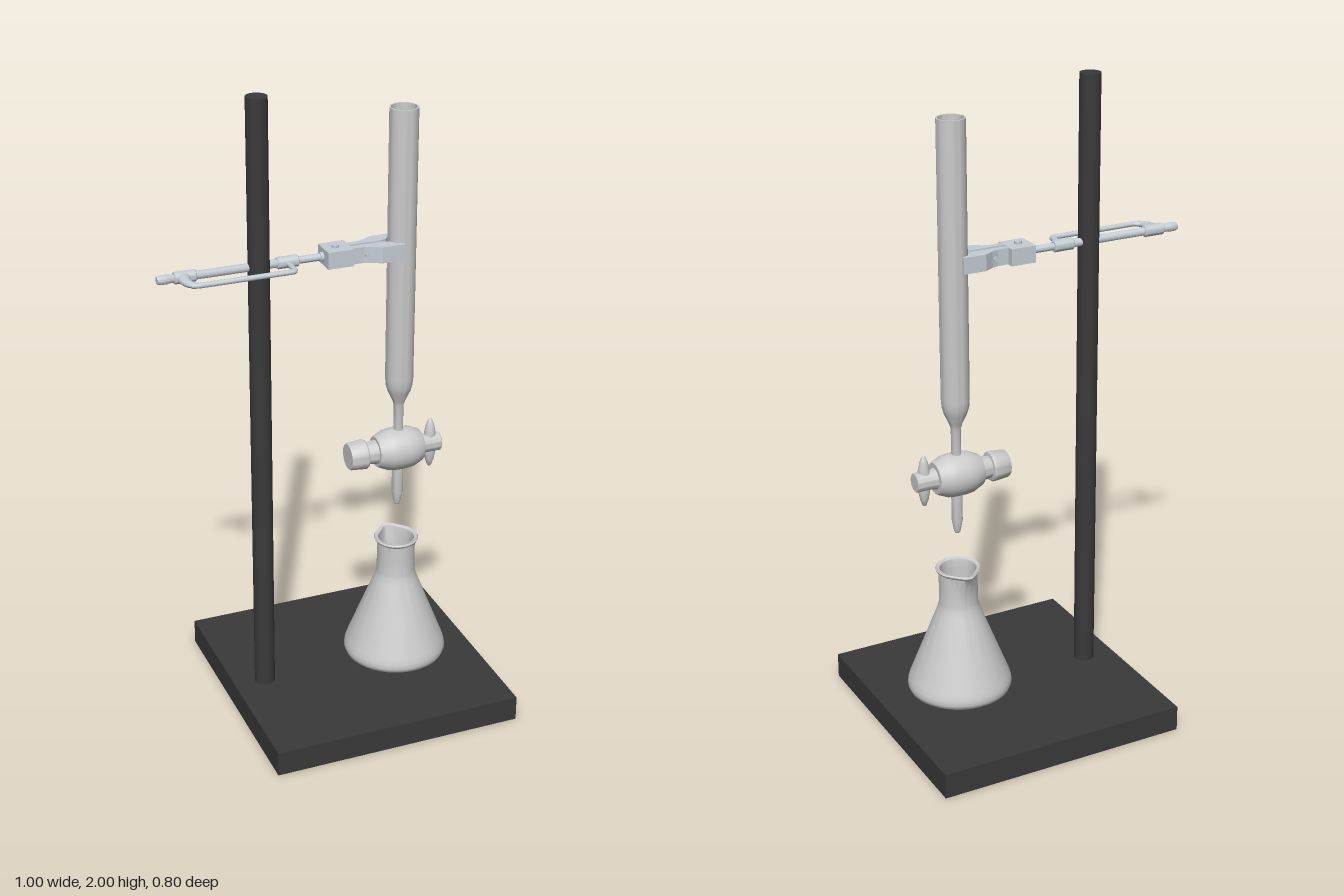
import * as THREE from 'three';
import { toCreasedNormals } from 'three/addons/utils/BufferGeometryUtils.js';

const material = (color) => new THREE.MeshStandardMaterial({ color, side: THREE.DoubleSide });
const V = (x, y, z) => new THREE.Vector3(x, y, z);

export function createModel() {
  const model = new THREE.Group();
  const dark = material(0x3a3a3a), glass = material(0xcccccc), metal = material(0xc4ccd4);
  const Z = 0.015; // depth of the shared glassware axis
  const GX = 0.247; // glassware axis in x

  const add = (parent, name, geometry, mat, x = 0, y = 0, z = 0) => {
    const mesh = new THREE.Mesh(geometry, mat);
    mesh.name = name;
    mesh.position.set(x, y, z);
    parent.add(mesh);
    return mesh;
  };
  const group = (name, x = 0, y = 0, z = 0) => {
    const g = new THREE.Group();
    g.name = name;
    g.position.set(x, y, z);
    model.add(g);
    return g;
  };
  // Turned part from [radius, height] pairs
  const turned = (points, segments = 40) => toCreasedNormals(
    new THREE.LatheGeometry(points.map(([r, y]) => new THREE.Vector2(r, y)), segments), 0.6);
  // Turned part lying along x, from [radius, x] pairs
  const turnedX = (points, segments = 32) => turned(points, segments).rotateZ(-Math.PI / 2);

  // Stand
  const stand = group('stand');
  add(stand, 'base', new THREE.BoxGeometry(0.8, 0.08, 0.8), dark, 0.1, 0.04, 0);
  add(stand, 'uprightRod', new THREE.CylinderGeometry(0.032, 0.032, 1.94, 32), dark, -0.2, 1.03, 0.012);

  // Conical flask, hollow, with a pouring lip at the back
  const flask = group('flask', GX, 0, Z);
  const body = new THREE.LatheGeometry([
    [0, 0.097], [0.148, 0.095], [0.158, 0.102], [0.163, 0.115], [0.161, 0.13],
    [0.155, 0.148], [0.07, 0.365], [0.063, 0.385], [0.06, 0.4], [0.06, 0.45], [0.06, 0.475], [0.06, 0.5],
    [0.068, 0.506], [0.07, 0.511], [0.067, 0.516], [0.057, 0.512], [0.055, 0.5],
    [0.055, 0.475], [0.055, 0.45], [0.055, 0.395], [0.065, 0.365], [0.15, 0.145], [0.15, 0.108], [0, 0.105],
  ].map(([r, y]) => new THREE.Vector2(r, y)), 64);
  const p = body.attributes.position;
  for (let i = 0; i < p.count; i++) {
    const x = p.getX(i), y = p.getY(i), z = p.getZ(i);
    const lift = THREE.MathUtils.smoothstep(y, 0.44, 0.51);
    const facing = Math.max(0, -z / (Math.hypot(x, z) || 1));
    p.setZ(i, z - 0.018 * lift * facing ** 10);
  }
  add(flask, 'flaskBody', toCreasedNormals(body, 0.7), glass);

  // Burette tube, open at the top and narrowing to a stem
  const burette = group('burette', GX, 0, Z);
  add(burette, 'buretteTube', turned([
    [0.015, 0.87], [0.015, 0.975], [0.02, 0.992], [0.035, 1.025], [0.041, 1.045], [0.043, 1.07],
    [0.043, 1.92], [0.038, 1.92], [0.038, 1.07], [0.03, 1.028], [0.011, 0.98], [0.011, 0.87],
  ]), glass);
  add(burette, 'buretteTip', turned([
    [0.017, 0.78], [0.017, 0.675], [0.01, 0.637], [0.007, 0.632], [0.005, 0.632], [0.009, 0.68], [0.009, 0.78],
  ].reverse(), 24), glass);

  // Stopcock: barrel, end cap and key across the stem
  const stopcock = group('stopcock', GX, 0.827, Z);
  add(stopcock, 'barrel', turnedX([
    [0, -0.075], [0.048, -0.075], [0.052, -0.068], [0.064, -0.04], [0.067, -0.015], [0.067, 0.015],
    [0.064, 0.04], [0.052, 0.068], [0.048, 0.073], [0, 0.073],
  ]), glass);
  add(stopcock, 'endCap', turnedX([
    [0, -0.167], [0.04, -0.167], [0.043, -0.162], [0.047, -0.115], [0.044, -0.11], [0.034, -0.108], [0.038, -0.07],
  ]), glass);
  add(stopcock, 'keyStem', turnedX([
    [0.036, 0.06], [0.03, 0.085], [0.03, 0.136], [0.027, 0.139], [0, 0.139],
  ]), glass);
  for (const s of [1, -1]) {
    const wing = add(stopcock, s > 0 ? 'upperKeyWing' : 'lowerKeyWing', turned([
      [0.018, 0], [0.018, 0.034], [0.013, 0.06], [0.006, 0.079], [0, 0.084],
    ], 20), glass, 0.108, 0, 0);
    if (s < 0) wing.rotation.x = Math.PI;
  }

  // Clamp: shaft with collars, side lever, block and two jaws
  const clamp = group('clamp', 0, 1.495, 0.008);
  add(clamp, 'shaft', turnedX([
    [0, -0.505], [0.011, -0.505], [0.014, -0.495], [0.014, -0.475], [0.0125, -0.47],
    [0.0125, -0.14], [0.011, -0.13], [0.011, -0.01], [0.014, -0.01], [0.014, 0.01], [0, 0.01],
  ], 20), metal);
  for (const [name, x] of [['rearCollar', -0.422], ['frontCollar', -0.111]]) {
    add(clamp, name, turnedX([
      [0, -0.033], [0.015, -0.033], [0.018, -0.03], [0.018, 0.03], [0.015, 0.033], [0, 0.033],
    ], 20), metal, x);
  }
  const leverPath = new THREE.CurvePath();
  const corners = [V(-0.425, 0, 0.074), V(-0.405, 0, 0.079), V(-0.126, 0, 0.079), V(-0.113, 0, 0.066), V(-0.113, 0, 0.01)];
  leverPath.add(new THREE.LineCurve3(corners[0], corners[1]));
  leverPath.add(new THREE.LineCurve3(corners[1], corners[2]));
  leverPath.add(new THREE.QuadraticBezierCurve3(corners[2], V(-0.113, 0, 0.079), corners[3]));
  leverPath.add(new THREE.LineCurve3(corners[3], corners[4]));
  add(clamp, 'lever', new THREE.TubeGeometry(leverPath, 80, 0.008, 12), metal);

  // Tapered elbow joining the lever to the rear collar
  const elbowPath = new THREE.CatmullRomCurve3([
    V(-0.428, 0, 0.01), V(-0.43, 0, 0.035), V(-0.423, 0, 0.063), V(-0.4, 0, 0.079)]);
  const elbow = new THREE.TubeGeometry(elbowPath, 20, 0.021, 12);
  const e = elbow.attributes.position;
  for (let i = 0; i < e.count; i++) {
    const t = Math.floor(i / 13) / 20, c = elbowPath.getPointAt(t);
    const v = V(0, 0, 0).fromBufferAttribute(e, i).sub(c).multiplyScalar(1 - 0.6 * t);
    v.y *= 0.75;
    v.add(c);
    e.setXYZ(i, v.x, v.y, v.z);
  }
  elbow.computeVertexNormals();
  add(clamp, 'leverElbow', elbow, metal);

  add(clamp, 'jawBlock', new THREE.BoxGeometry(0.08, 0.052, 0.082), metal, 0.04, 0, 0.002);
  add(clamp, 'blockScrew', new THREE.CylinderGeometry(0.011, 0.011, 0.012, 16), metal, 0.037, 0.028, 0.004);
  for (const s of [1, -1]) {
    const outline = [
      [0.07, 0.026], [0.115, 0.026], [0.135, 0.032], [0.165, 0.05], [0.237, 0.05], [0.237, 0.041],
      [0.217, 0.034], [0.203, 0.014], [0.185, 0.006], [0.07, 0.006],
    ].map(([x, z]) => new THREE.Vector2(x, z * s));
    const jaw = new THREE.ExtrudeGeometry(new THREE.Shape(outline), { depth: 0.05, bevelEnabled: false });
    jaw.rotateX(Math.PI / 2);
    add(clamp, s > 0 ? 'frontJaw' : 'rearJaw', jaw, metal, 0, 0.025, 0.007);
    const pin = add(clamp, 'jawPin', new THREE.CylinderGeometry(0.007, 0.007, 0.008, 12), metal, 0.125, 0, 0.007 + s * 0.03);
    pin.rotation.x = Math.PI / 2;
  }
  return model;
}
